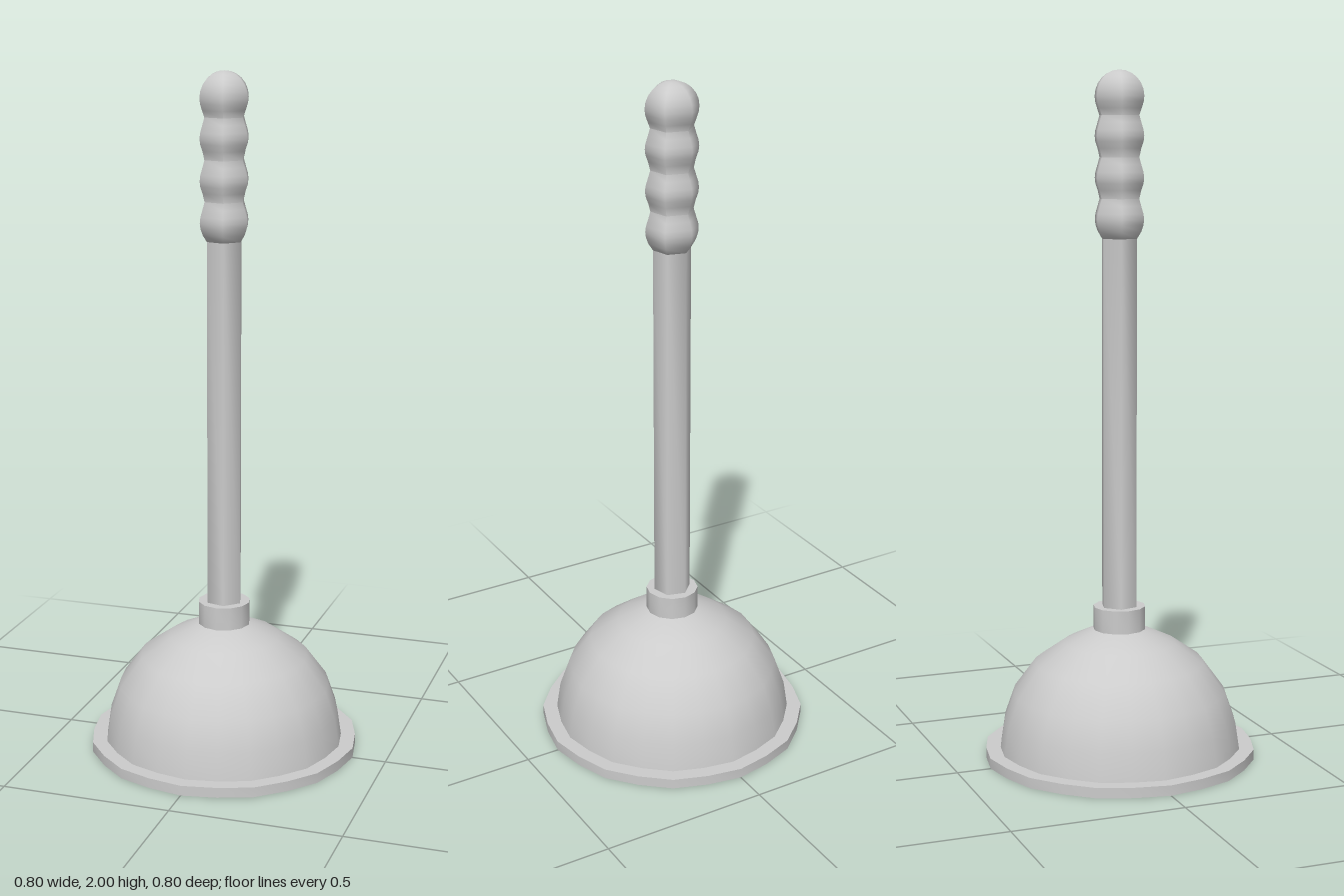
import * as THREE from 'three';
import { toCreasedNormals } from 'three/addons/utils/BufferGeometryUtils.js';

const material = new THREE.MeshStandardMaterial({ color: 0xcccccc });
const HEX_START = Math.PI / 12; // the handle's six sides are turned by 15 degrees

function lathe(name, profile, sides, start = 0, adjust) {
  const points = profile.map(([r, y]) => new THREE.Vector2(r, y));
  let geometry = new THREE.LatheGeometry(points, sides, start);
  if (adjust) adjust(geometry.attributes.position, points.length);
  geometry = toCreasedNormals(geometry, 1.1);
  const mesh = new THREE.Mesh(geometry, material);
  mesh.name = name;
  return mesh;
}

export function createModel() {
  const group = new THREE.Group();
  group.name = 'plunger';

  // Hollow rubber cup: inside of the dome, flat flange, outside of the dome
  const inner = [];
  for (let i = 0; i <= 8; i++) {
    const a = (i / 8) * Math.PI / 2;
    inner.push([0.337 * Math.sin(a), 0.02 + 0.34 * Math.cos(a)]);
  }
  const cupProfile = [
    ...inner, [0.337, 0], [0.4, 0], [0.4, 0.03], [0.357, 0.03],
    [0.345, 0.11], [0.315, 0.195], [0.25, 0.283], [0.165, 0.342], [0.08, 0.381], [0, 0.39],
  ];
  // Every second column sits slightly closer to the axis
  const flattenAlternate = (pos, perColumn) => {
    for (let i = 0; i < pos.count; i++) {
      if (Math.floor(i / perColumn) % 2 === 0) continue;
      pos.setX(i, pos.getX(i) * 0.987);
      pos.setZ(i, pos.getZ(i) * 0.987);
    }
  };
  group.add(lathe('cup', cupProfile, 24, 0, flattenAlternate));

  // Collar joining cup and handle
  group.add(lathe('collar', [[0, 0.375], [0.077, 0.375], [0.077, 0.45], [0, 0.45]], 12));

  // Six-sided shaft
  group.add(lathe('shaft', [[0, 0.39], [0.055, 0.39], [0.055, 1.56], [0, 1.56]], 6, HEX_START));

  // Grip with four bulges and a rounded end
  const grip = [[0, 1.525], [0.055, 1.525]];
  const bulges = [1.58, 1.697, 1.815];
  for (const y of bulges) {
    for (const [r, dy] of [[0.068, -0.035], [0.075, -0.016], [0.077, 0], [0.075, 0.016], [0.068, 0.038], [0.062, 0.058]]) {
      grip.push([r, y + dy]);
    }
  }
  grip.push([0.069, 1.892], [0.075, 1.91]);
  for (let i = 0; i <= 6; i++) {
    const a = (i / 6) * Math.PI / 2;
    grip.push([i === 6 ? 0 : 0.077 * Math.cos(a), 1.926 + 0.074 * Math.sin(a)]);
  }
  group.add(lathe('grip', grip, 6, HEX_START));

  return group;
}
